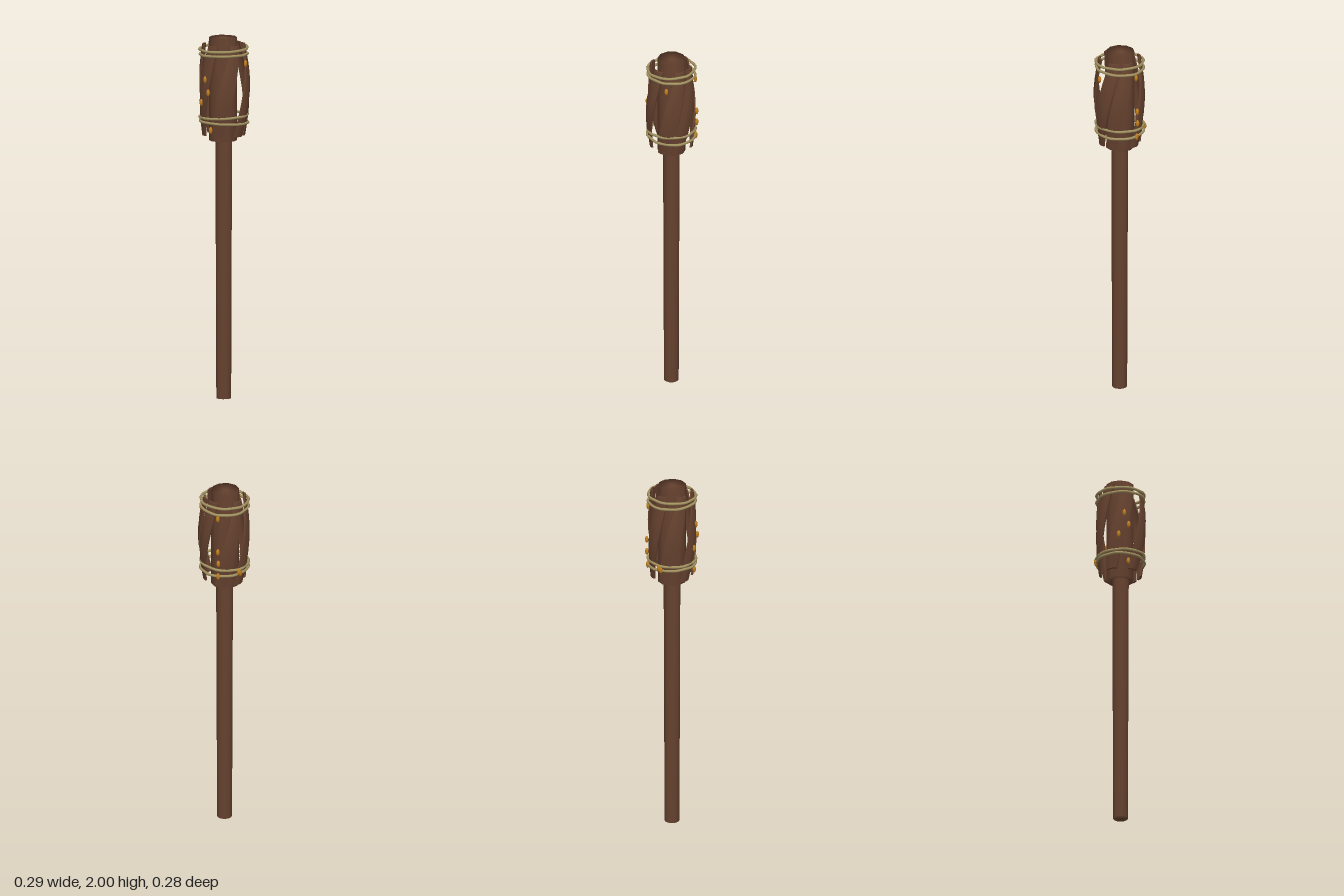
import * as THREE from 'three';
import { mergeVertices, toCreasedNormals } from 'three/addons/utils/BufferGeometryUtils.js';

const mat = (name, color) => {
  const m = new THREE.MeshStandardMaterial({ color });
  m.name = name;
  return m;
};
const rad = THREE.MathUtils.degToRad;

// Cylinder whose normals are smoothed over the rims
function softCylinder(rTop, rBottom, height, sides) {
  let g = new THREE.CylinderGeometry(rTop, rBottom, height, sides);
  g.deleteAttribute('normal');
  g.deleteAttribute('uv');
  g = mergeVertices(g);
  g.computeVertexNormals();
  return g;
}

// Bowed, twisted plank wrapped round the core: cross-sections lofted upward
function slatGeometry(azimuth, halfWidth, y0, y1, twist, bow) {
  const rows = 8, cols = 4, n = cols * 2, pos = [], idx = [];
  for (let j = 0; j <= rows; j++) {
    const t = j / rows;
    const r = 0.113 + bow * Math.sin(Math.PI * t);
    const mid = azimuth + twist * (t - 0.5);
    const w = halfWidth * (0.85 + 0.15 * Math.sin(Math.PI * t));
    for (let k = 0; k < n; k++) {
      const outer = k < cols;
      const u = ((outer ? k : n - 1 - k) / (cols - 1)) * 2 - 1;
      const a = rad(mid + u * w);
      const rr = r + (outer ? 0.005 : -0.005) - 0.006 * u * u;
      pos.push(Math.sin(a) * rr, y0 + (y1 - y0) * t, Math.cos(a) * rr);
    }
  }
  for (let j = 0; j < rows; j++) {
    for (let k = 0; k < n; k++) {
      const a = j * n + k, b = j * n + (k + 1) % n;
      idx.push(a, b, b + n, a, b + n, a + n);
    }
  }
  const top = rows * n;
  for (let k = 0; k < cols - 1; k++) {
    const p = k, q = k + 1, s = n - 2 - k, e = n - 1 - k;
    idx.push(top + p, top + q, top + s, top + p, top + s, top + e);
    idx.push(p, s, q, p, e, s);
  }
  const g = new THREE.BufferGeometry();
  g.setAttribute('position', new THREE.Float32BufferAttribute(pos, 3));
  g.setIndex(idx);
  return toCreasedNormals(g, rad(40));
}

// Slightly uneven hoop of cord
function cordGeometry(radius, y, tilt, phase) {
  const pts = [];
  for (let i = 0; i < 18; i++) {
    const a = (i / 18) * Math.PI * 2;
    const r = radius + 0.003 * Math.sin(i * 2.4 + phase);
    pts.push(new THREE.Vector3(Math.sin(a) * r, y + tilt * Math.sin(a + phase), Math.cos(a) * r));
  }
  return new THREE.TubeGeometry(new THREE.CatmullRomCurve3(pts, true), 36, 0.0075, 6, true);
}

export function createModel() {
  const model = new THREE.Group();
  model.name = 'torch';
  const wood = mat('brown wood', 0x66422f);
  const cord = mat('straw cord', 0xa39361);
  const amber = mat('amber', 0xc27f1e);

  const add = (name, geometry, material, x = 0, y = 0, z = 0) => {
    const m = new THREE.Mesh(geometry, material);
    m.name = name;
    m.position.set(x, y, z);
    model.add(m);
    return m;
  };

  // Shaft and the thicker core of the head
  add('handle', softCylinder(0.046, 0.041, 1.44, 12), wood, 0, 0.72, 0);
  add('headCore', softCylinder(0.077, 0.077, 0.57, 10), wood, 0, 1.715, -0.004);

  // Slats: azimuth from the front, half width in degrees, bow
  const slats = [
    [20, 18, 0.029], [60, 18, 0.026], [135, 18, 0.022],
    [190, 18, 0.023], [250, 18, 0.022], [315, 18, 0.027],
  ];
  slats.forEach(([az, w, bow], i) =>
    add('slat' + (i + 1), slatGeometry(az, w, 1.46, 1.965, 50, bow), wood));

  // Cord bindings near both ends
  add('upperCordA', cordGeometry(0.13, 1.94, 0.005, 0.4), cord);
  add('upperCordB', cordGeometry(0.13, 1.908, 0.006, 2.1), cord);
  add('lowerCordA', cordGeometry(0.131, 1.567, 0.007, 1.2), cord);
  add('lowerCordB', cordGeometry(0.131, 1.535, 0.006, 3.6), cord);

  // Small amber beads: azimuth, height, distance from the axis
  const bead = new THREE.SphereGeometry(0.011, 10, 8);
  const beads = [
    [8, 1.865, 0.137], [104, 1.88, 0.132], [105, 1.68, 0.139], [106, 1.61, 0.139],
    [105, 1.53, 0.134], [155, 1.55, 0.137], [160, 1.54, 0.134], [-90, 1.71, 0.139],
    [-100, 1.78, 0.137], [-113, 1.65, 0.14], [-88, 1.5, 0.122],
  ];
  beads.forEach(([az, y, r], i) => {
    const a = rad(az);
    const b = add('bead' + (i + 1), bead, amber, Math.sin(a) * r, y, Math.cos(a) * r);
    b.rotation.y = a;
    b.scale.set(0.95, 1.8, 0.85);
  });

  return model;
}
